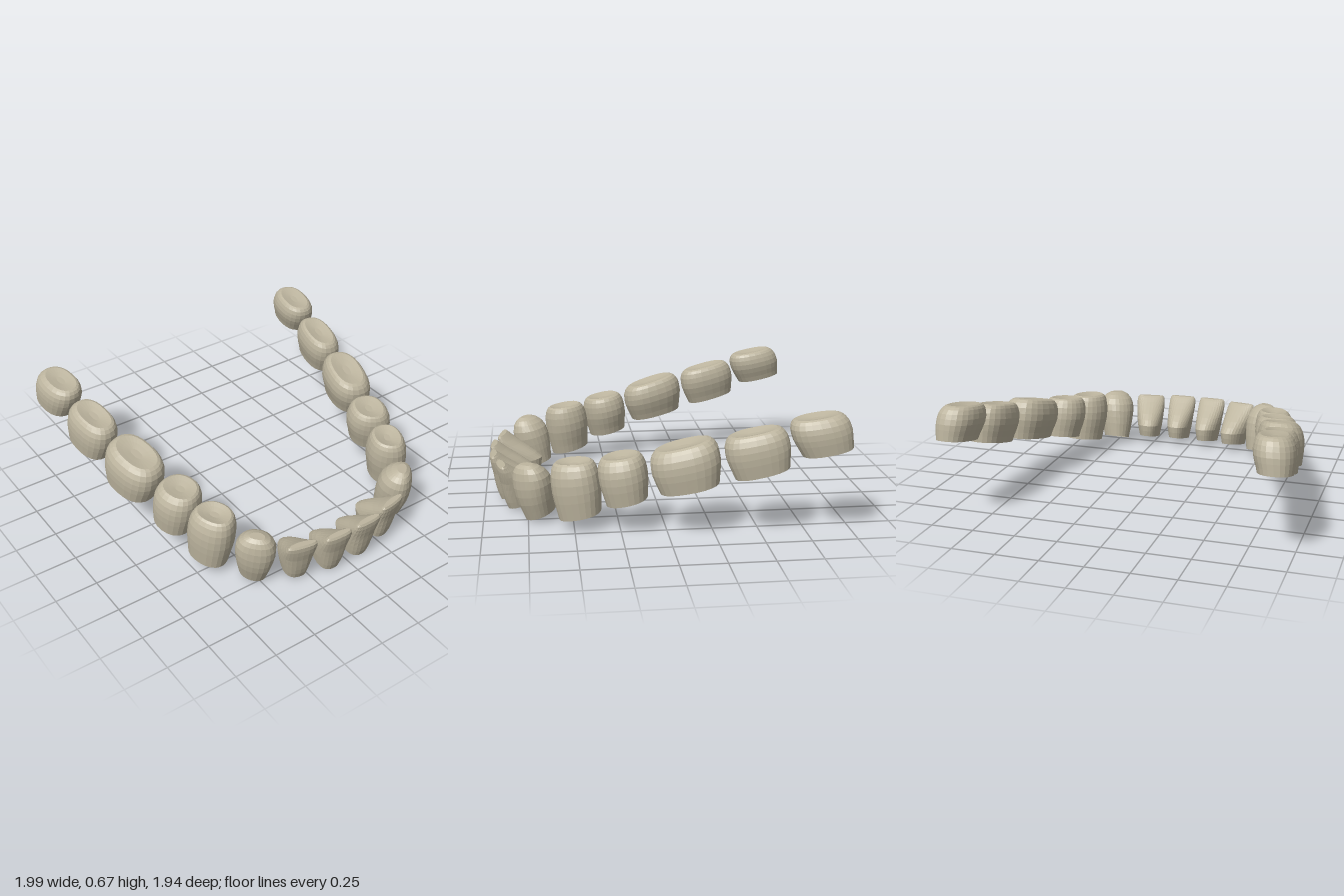
import * as THREE from 'three';

const SEGMENTS = 24;

// Profiles, from the open base to the crown: [height, width, outward offset, depth]
const INCISOR = [
  [0, 0.72, -0.19, 0.74], [0.15, 0.8, -0.16, 0.82], [0.3, 0.88, -0.13, 0.87], [0.45, 0.93, 0.03, 0.77],
  [0.6, 0.97, 0.22, 0.63], [0.75, 1, 0.45, 0.47], [0.87, 1, 0.63, 0.33], [0.96, 0.95, 0.75, 0.21],
  [1, 0.84, 0.78, 0.12], [1, 0, 0.78, 0],
];
const CANINE = [
  [0, 0.7, -0.08, 0.8], [0.15, 0.79, -0.04, 0.87], [0.3, 0.88, 0, 0.94], [0.45, 0.95, 0.03, 0.97],
  [0.6, 1, 0.05, 0.96], [0.75, 0.98, 0.08, 0.88], [0.87, 0.86, 0.14, 0.72], [0.95, 0.66, 0.2, 0.52],
  [1, 0.38, 0.25, 0.26], [1, 0, 0.25, 0],
];
const MOLAR = [
  [0, 0.86, 0.13, 0.84], [0.16, 0.91, 0.1, 0.89], [0.32, 0.96, 0.06, 0.95], [0.48, 1, 0.02, 0.99],
  [0.64, 1, -0.01, 0.99], [0.78, 0.98, -0.03, 0.94], [0.9, 0.91, -0.06, 0.85], [0.97, 0.82, -0.08, 0.75],
  [1, 0.72, -0.08, 0.64], [0.97, 0.5, -0.08, 0.42], [0.94, 0.22, -0.08, 0.16], [0.94, 0, -0.08, 0],
];

// One side of the arch. yaw turns the outward face away from +z; slopes are dy/dz of
// the base and crown; lean moves the crown forward; taper narrows the inner side.
const TEETH = [
  { name: 'centralIncisor', profile: INCISOR, x: 0.1, z: 0.835, yaw: 0.04, hu: 0.096, hv: 0.135,
    y0: 0.02, y1: 0.29, slope0: -0.25, slope1: -0.08, lean: 0, taper: 0.2, power: 2.4 },
  { name: 'lateralIncisor', profile: INCISOR, x: 0.297, z: 0.79, yaw: 0.2, hu: 0.1, hv: 0.135,
    y0: 0.03, y1: 0.29, slope0: -0.25, slope1: -0.08, lean: 0, taper: 0.2, power: 2.4 },
  { name: 'canine', profile: CANINE, x: 0.497, z: 0.706, yaw: 0.75, hu: 0.118, hv: 0.103,
    y0: 0.035, y1: 0.335, slope0: -0.38, slope1: -0.1, lean: 0.05, taper: 0.12, power: 2.2 },
  { name: 'firstPremolar', profile: MOLAR, x: 0.628, z: 0.478, yaw: 1.15, hu: 0.14, hv: 0.12,
    y0: 0.08, y1: 0.375, slope0: -0.24, slope1: -0.1, lean: 0.045, taper: 0.08, power: 2.2 },
  { name: 'secondPremolar', profile: MOLAR, x: 0.693, z: 0.227, yaw: 1.25, hu: 0.134, hv: 0.134,
    y0: 0.174, y1: 0.418, slope0: -0.23, slope1: -0.16, lean: 0.045, taper: 0.05, power: 2.2 },
  { name: 'firstMolar', profile: MOLAR, x: 0.778, z: -0.1, yaw: 1.36, hu: 0.185, hv: 0.135,
    y0: 0.262, y1: 0.495, slope0: -0.215, slope1: -0.27, lean: 0.045, taper: 0, power: 2.4 },
  { name: 'secondMolar', profile: MOLAR, x: 0.84, z: -0.478, yaw: 1.43, hu: 0.17, hv: 0.113,
    y0: 0.35, y1: 0.57, slope0: -0.25, slope1: -0.22, lean: 0.05, taper: 0, power: 2.4 },
  { name: 'thirdMolar', profile: MOLAR, x: 0.88, z: -0.812, yaw: 1.45, hu: 0.157, hv: 0.113,
    y0: 0.468, y1: 0.655, slope0: -0.2, slope1: -0.17, lean: 0.065, taper: 0, power: 2.3 },
];

// Crown shell lofted through the profile's rings, open at the base
function toothGeometry(tooth, side) {
  const { profile, x, z, yaw, hu, hv, y0, y1, slope0, slope1, lean, taper, power } = tooth;
  const positions = [], index = [];
  const round = (c) => Math.sign(c) * Math.abs(c) ** (2 / power);
  const sin = Math.sin(yaw), cos = Math.cos(yaw);
  profile.forEach(([t, width, offset, depth], i) => {
    for (let j = 0; j < SEGMENTS; j++) {
      const angle = (j / SEGMENTS) * Math.PI * 2;
      const s = round(Math.sin(angle));
      const u = round(Math.cos(angle)) * hu * width * (1 + taper * (s - 0.5));
      const v = (s * depth + offset) * hv;
      const dz = v * cos - u * sin;
      const y = y0 + (y1 - y0) * t + dz * (slope0 + (slope1 - slope0) * t);
      positions.push(side * (x + u * cos + v * sin), Math.max(0, y), z + dz + lean * (t - 0.5));
      if (i === profile.length - 1) continue;
      const a = i * SEGMENTS + j, b = i * SEGMENTS + ((j + 1) % SEGMENTS);
      const c = a + SEGMENTS, d = b + SEGMENTS;
      const last = i === profile.length - 2;
      if (side > 0) index.push(a, c, b, ...(last ? [] : [b, c, d]));
      else index.push(a, b, c, ...(last ? [] : [b, d, c]));
    }
  });
  const geometry = new THREE.BufferGeometry();
  geometry.setAttribute('position', new THREE.Float32BufferAttribute(positions, 3));
  geometry.setIndex(index);
  geometry.computeVertexNormals();
  return geometry;
}

export function createModel() {
  const group = new THREE.Group();
  group.name = 'lowerDentalArch';
  const enamel = new THREE.MeshStandardMaterial({ color: 0xbcb49e, flatShading: true, side: THREE.DoubleSide });
  enamel.name = 'enamel';
  // Mirrored pairs along the arch
  for (const side of [1, -1]) {
    for (const tooth of TEETH) {
      const mesh = new THREE.Mesh(toothGeometry(tooth, side), enamel);
      mesh.name = (side > 0 ? 'left' : 'right') + tooth.name[0].toUpperCase() + tooth.name.slice(1);
      group.add(mesh);
    }
  }
  return group;
}
